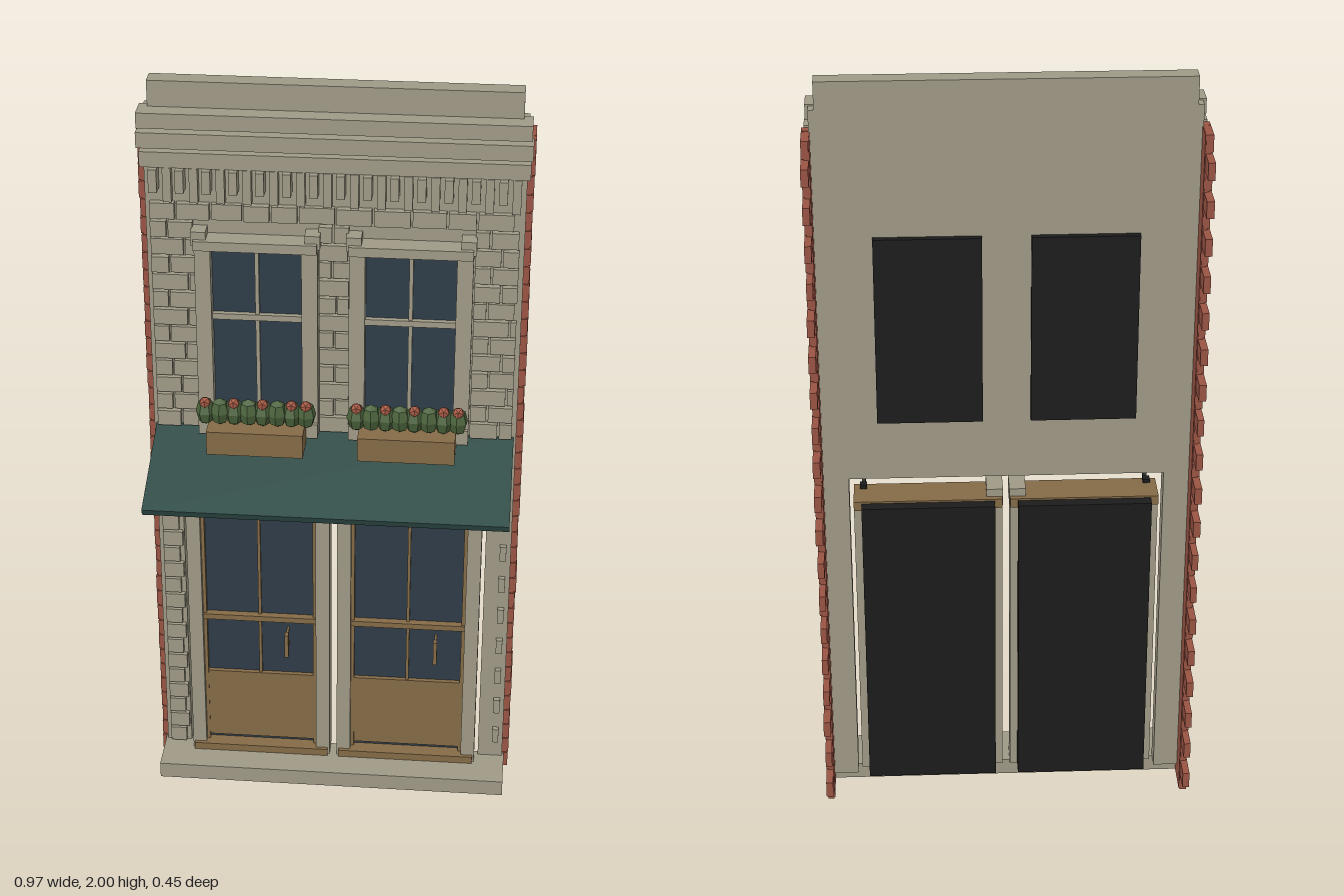
import * as THREE from 'three';
import { mergeGeometries } from 'three/addons/utils/BufferGeometryUtils.js';

function material(name, color) {
  const m = new THREE.MeshStandardMaterial({ color });
  m.name = name;
  return m;
}

// Box geometry from its extents
function slab(x0, x1, y0, y1, z0, z1) {
  return new THREE.BoxGeometry(x1 - x0, y1 - y0, z1 - z0)
    .translate((x0 + x1) / 2, (y0 + y1) / 2, (z0 + z1) / 2);
}

export function createModel() {
  const stone = material('stone', 0xa09a87);
  const brick = material('brick', 0x9a5444);
  const wood = material('wood', 0x856b47);
  const canvas = material('awning green', 0x2d4a45);
  const glass = material('dark glass', 0x2e3c48);
  const black = material('black', 0x1c1c1c);
  const leaf = material('leaf green', 0x4c633c);
  const flower = material('flower red', 0xa65a45);

  const model = new THREE.Group();
  model.name = 'shopFacade';
  const add = (parent, name, mat, ...geos) => {
    const mesh = new THREE.Mesh(geos.length > 1 ? mergeGeometries(geos) : geos[0], mat);
    mesh.name = name;
    parent.add(mesh);
    return mesh;
  };
  const group = (name, x = 0) => {
    const g = new THREE.Group();
    g.name = name;
    g.position.x = x;
    model.add(g);
    return g;
  };
  let seed = 7;
  const rand = () => (seed = (seed * 16807) % 2147483647) / 2147483647;

  // Wall, piers, step, parapet and cornice
  add(model, 'upperWall', stone, slab(-0.467, 0.467, 0.945, 1.93, -0.104, -0.056));
  for (const s of [-1, 1]) {
    const a = s * 0.4, b = s * 0.467;
    add(model, 'pier', stone, slab(Math.min(a, b), Math.max(a, b), 0.04, 0.945, -0.104, -0.056));
  }
  add(model, 'step', stone, slab(-0.472, 0.472, 0, 0.045, -0.07, 0.063));
  add(model, 'parapet', stone, slab(-0.453, 0.453, 1.9, 2, -0.106, -0.058));
  add(model, 'cornice', stone,
    slab(-0.475, 0.475, 1.895, 1.934, -0.075, -0.012),
    slab(-0.479, 0.479, 1.84, 1.88, -0.07, -0.021),
    slab(-0.475, 0.475, 1.785, 1.825, -0.07, -0.035));

  // Dentils under the cornice, alternating short and long
  const dentils = [];
  for (let i = 0; i < 28; i++) {
    const x = -0.452 + i * 0.0328;
    const long = i % 2;
    dentils.push(slab(x, x + 0.021, long ? 1.695 : 1.725, 1.785, -0.06, long ? -0.033 : -0.018));
  }
  add(model, 'dentils', stone, ...dentils);

  // Coursed masonry around the windows
  const blocks = [];
  const pitch = 0.0485;
  for (let r = 0; r < 13; r++) {
    const y = 1.065 + r * pitch;
    const spans = y < 1.6
      ? [[-0.455, -0.348], [-0.037, 0.037], [0.348, 0.455]]
      : [[-0.455, 0.455]];
    for (const [a, b] of spans) {
      let x = a;
      while (b - x > 0.012) {
        const half = x === a && r % 2 ? 0.5 : 1;
        const end = Math.min(b, x + half * (0.06 + rand() * 0.03));
        blocks.push(slab(x, end, y, y + 0.042, -0.06, -0.043 + rand() * 0.006));
        x = end + 0.005;
      }
    }
  }
  add(model, 'masonry', stone, ...blocks);

  // Corner stones on the lower piers
  const quoins = [];
  for (let r = 0; r < 18; r++) {
    const y = 0.05 + r * 0.0495;
    quoins.push(slab(-0.455, r % 2 ? -0.403 : -0.412, y, y + 0.043, -0.06, -0.042));
    if (r % 2) quoins.push(slab(0.438, 0.455, y, y + 0.043, -0.06, -0.042));
  }
  add(model, 'quoins', stone, ...quoins);

  // Toothed brick returns on both sides
  for (const s of [-1, 1]) {
    const bricks = [];
    for (let r = 0; r < 39; r++) {
      const y = r * 0.0482;
      const back = r % 2 ? -0.222 : -0.165;
      const joint = r % 2 ? -0.118 : -0.1;
      const inset = rand() * 0.003;
      const x0 = s > 0 ? 0.466 : -0.485 + inset;
      const x1 = s > 0 ? 0.485 - inset : -0.466;
      bricks.push(slab(x0, x1, y, y + 0.044, joint + 0.004, -0.072));
      bricks.push(slab(x0, x1, y, y + 0.044, back, joint));
    }
    // Mortar bed behind the bricks
    const m0 = s > 0 ? 0.464 : -0.478;
    bricks.push(slab(m0, m0 + 0.014, 0.002, 1.875, -0.162, -0.075));
    add(model, 'brickReturn', brick, ...bricks);
  }

  // Upper windows with planters
  for (const s of [-1, 1]) {
    const g = group('window', s * 0.192);
    add(g, 'windowGlass', glass, slab(-0.118, 0.118, 1.07, 1.585, -0.058, -0.05));
    add(g, 'windowBack', black, slab(-0.132, 0.132, 1.11, 1.605, -0.121, -0.1));
    add(g, 'windowFrame', stone,
      slab(-0.153, -0.113, 1.06, 1.585, -0.06, -0.02),
      slab(0.113, 0.153, 1.06, 1.585, -0.06, -0.02),
      slab(-0.153, 0.153, 1.582, 1.607, -0.06, 0),
      slab(-0.16, -0.122, 1.59, 1.627, -0.06, -0.012),
      slab(0.122, 0.16, 1.59, 1.627, -0.06, -0.012),
      slab(-0.153, 0.153, 1.06, 1.1, -0.06, -0.01));
    add(g, 'muntins', stone,
      slab(-0.113, 0.113, 1.378, 1.394, -0.052, -0.036),
      slab(-0.005, 0.005, 1.1, 1.582, -0.052, -0.04));

    add(g, 'planter', wood, slab(-0.123, 0.123, 1.047, 1.112, -0.018, 0.072));
    // Row of faceted plants with blooms on top
    for (let i = 0; i < 8; i++) {
      const x = -0.128 + i * 0.0366;
      const plant = new THREE.SphereGeometry(0.027, 6, 4).toNonIndexed();
      plant.scale(0.95, 1.4, 1).rotateY(i * 0.5).translate(x, 1.15, 0.028);
      plant.computeVertexNormals();
      add(g, 'plant', leaf, plant);
      if (i % 2 === 0 || i === 7) {
        const bloom = new THREE.IcosahedronGeometry(0.016, 0).translate(x, 1.178, 0.036);
        add(g, 'bloom', flower, bloom);
      }
    }
  }

  // Glazed doors
  for (const s of [-1, 1]) {
    const g = group('door', s * 0.2);
    add(g, 'doorGlass', glass, slab(-0.155, 0.155, 0.06, 0.86, -0.07, -0.052));
    add(g, 'doorBack', black, slab(-0.17, 0.17, 0.045, 0.87, -0.13, -0.07));
    add(g, 'doorPosts', stone,
      slab(-0.19, -0.153, 0.045, 0.85, -0.085, -0.022),
      slab(0.153, 0.19, 0.045, 0.85, -0.085, -0.022));
    const inner = -s;
    const c0 = inner > 0 ? 0.15 : -0.192;
    add(g, 'postCapital', stone, slab(c0, c0 + 0.042, 0.85, 0.896, -0.085, -0.012));
    add(g, 'doorLintel', wood, slab(-0.19, 0.19, 0.85, 0.875, -0.1, -0.004));
    add(g, 'doorSill', wood, slab(-0.185, 0.185, 0.044, 0.066, -0.075, -0.012));
    add(g, 'doorRails', wood,
      slab(-0.153, 0.153, 0.47, 0.486, -0.055, -0.032),
      slab(-0.004, 0.004, 0.295, 0.85, -0.055, -0.044),
      slab(-0.153, -0.144, 0.066, 0.85, -0.055, -0.038),
      slab(0.144, 0.153, 0.066, 0.85, -0.055, -0.038));
    add(g, 'kickPanel', wood, slab(-0.147, 0.147, 0.08, 0.295, -0.055, -0.04));
    add(g, 'doorHandle', wood,
      slab(0.071, 0.081, 0.382, 0.452, -0.014, 0.004),
      slab(0.073, 0.079, 0.39, 0.398, -0.052, -0.01),
      slab(0.073, 0.079, 0.436, 0.444, -0.052, -0.01));
  }

  // Sloping awning and its struts
  const tilt = Math.atan2(0.1, 0.29);
  const awning = add(model, 'awning', canvas, new THREE.BoxGeometry(0.922, 0.018, 0.305));
  awning.rotation.x = tilt;
  awning.position.set(0, 1.008, 0.079);
  for (const s of [-1, 1]) {
    const strut = add(model, 'awningStrut', black, new THREE.BoxGeometry(0.01, 0.01, 0.215));
    strut.rotation.x = -Math.atan2(0.09, 0.2);
    strut.position.set(s * 0.365, 0.898, 0.083);
    add(model, 'strutBracket', black,
      slab(s * 0.365 - 0.009, s * 0.365 + 0.009, 0.84, 0.885, -0.03, -0.008));
  }
  return model;
}
